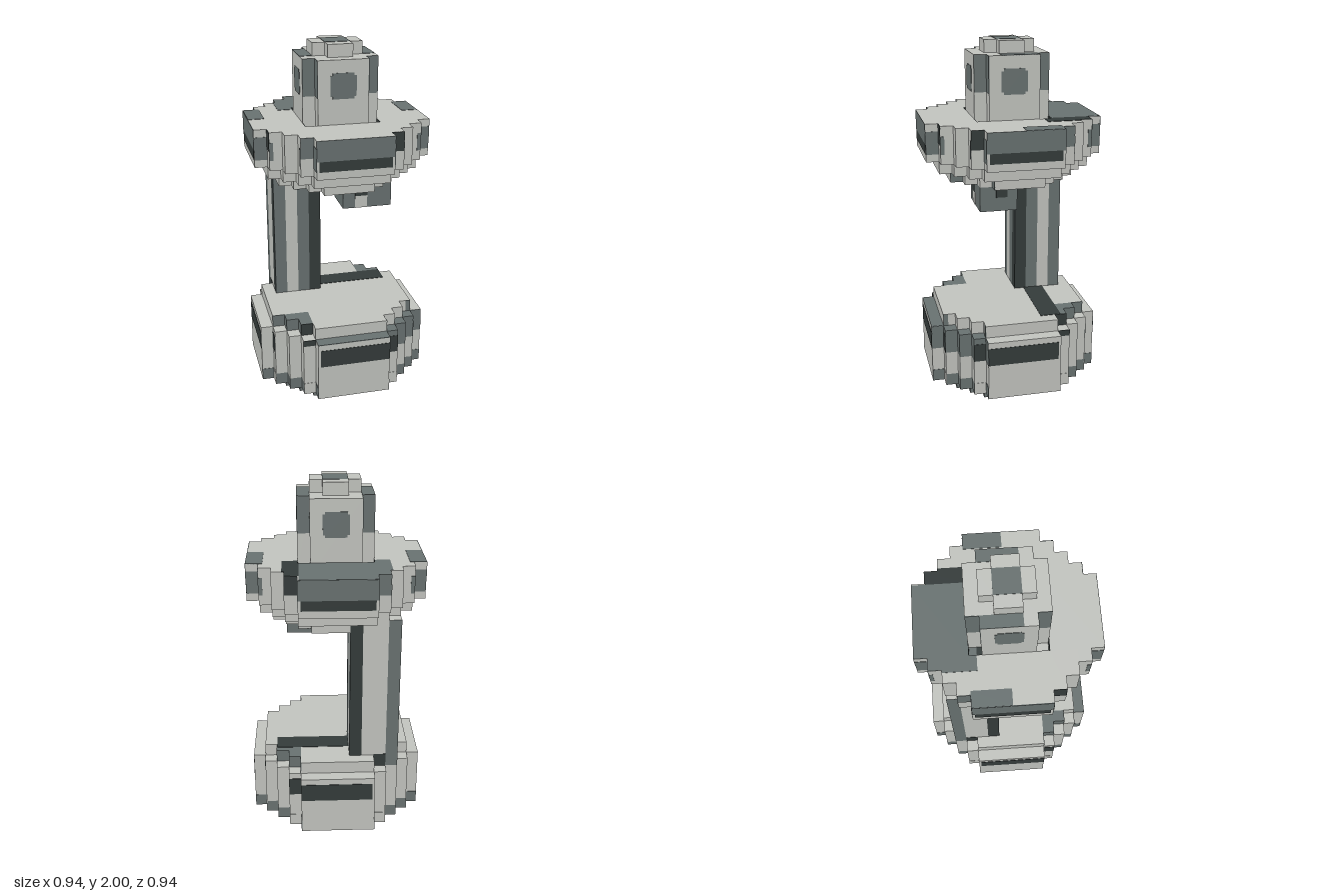
import * as THREE from 'three';

const U = 1 / 15; // one block
const T = 0.03;   // painted plate half thickness, in blocks

export function createModel() {
  const root = new THREE.Group();
  const light = new THREE.MeshStandardMaterial({ color: 0xc1c3be, name: 'light stone' });
  const mid = new THREE.MeshStandardMaterial({ color: 0x687170, name: 'grey stone' });
  const dark = new THREE.MeshStandardMaterial({ color: 0x343b3a, name: 'dark stone' });

  // Box from ranges given in blocks
  function box(name, mat, [x0, x1], [y0, y1], [z0, z1], parent = root) {
    const m = new THREE.Mesh(new THREE.BoxGeometry((x1 - x0) * U, (y1 - y0) * U, (z1 - z0) * U), mat);
    m.position.set((x0 + x1) / 2 * U, (y0 + y1) / 2 * U, (z0 + z1) / 2 * U);
    m.name = name;
    parent.add(m);
  }
  // Thin range around a plane
  const at = (d) => [d - T, d + T];
  // The same box and its copy with x and z exchanged
  function both(name, mat, x, y, z) {
    box(name, mat, x, y, z);
    box(name, mat, z, y, x);
  }
  // Plates on the planes z = d, z = -d, x = d and x = -d
  function onSides(name, mat, x, y, d) {
    both(name, mat, x, y, at(d));
    both(name, mat, x, y, at(-d));
  }

  // Stepped round layer of radius r with flat sides of half width f
  function disc(name, r, f, y, mat, corner = () => mat, hollow = false) {
    const g = new THREE.Group();
    g.name = name;
    if (!hollow) box(name + 'Core', mat, [-f, f], y, [-f, f], g);
    for (const s of [-1, 1]) {
      const span = (a, b, k) => (k > 0 ? [a, b] : [-b, -a]);
      box(name + 'Side', mat, [-f, f], y, span(f, r, s), g);
      box(name + 'Arm', mat, span(f, r, s), y, [-f, f], g);
      for (const t of [-1, 1])
        for (let k = 0; k < r - f - 1; k++)
          box(name + 'Step', corner(t, s), span(f, r - 1 - k, t), y, span(f + k, f + k + 1, s), g);
    }
    root.add(g);
  }

  // Base
  disc('foot', 3, 2, [0, 1], mid);
  disc('footStep', 5, 3, [1, 2], mid);
  disc('baseBottom', 7, 3, [2, 3], light, () => mid);
  disc('baseMiddle', 7, 3, [3, 5], light);
  disc('baseUpper', 7, 3, [5, 7], light, (x, z) => (x > 0 && z > 0 ? mid : light));
  disc('basePlate', 6, 3, [7, 8], light, (x, z) => (x * z < 0 ? mid : light));
  onSides('baseBand', dark, [-2.8, 3], [5, 6.5], 7);
  onSides('baseBandEnd', dark, [3, 4], [5, 6.5], 6);
  onSides('footTrim', light, [-3, 3], [1.6, 2], 5);
  for (const x of [[3, 4], [-4, -3]]) {
    onSides('footTrimEnd', light, x, [1.6, 2], 4);
    onSides('baseLowerStep', light, x, [2, 3], 6);
  }
  box('footStepUnderside', light, [-4, 4], at(1), [-4, 4]);
  box('footUndersideFace', light, [-2, 2], at(0), [-2, 2]);
  for (const end of [[6, 7], [-7, -6]])
    for (const d of [-3, 3]) both('baseLowerEnd', mid, end, [2, 3], at(d));
  both('baseUpperEnd', mid, [6, 7], [5, 7], at(3));
  box('baseRim', mid, [-3, 3], at(7), [6, 7]);
  box('baseTopStripe', dark, [-1, 5], at(8), [-3.5, -1.8]);
  both('plateCornerMark', dark, [-4, -3], [7, 8], at(5));
  both('plateEndMark', mid, [-6, -5], [7, 8], at(3));
  both('plateEdgeMark', mid, [5.6, 6], [7, 8], at(3));
  both('baseCornerMark', dark, [-4, -3], [6.5, 7], at(6));

  // Square column: stripes wrap each corner (face order +x -x +y -y +z -z)
  const column = new THREE.Group();
  column.name = 'column';
  root.add(column);
  const near = [mid, light, mid, dark];  // stripes of the front and left faces
  const far = [mid, light, light, dark]; // stripes of the back and right faces
  for (let i = 0; i < 4; i++)
    for (let k = 0; k < 4; k++)
      if (i % 3 === 0 || k % 3 === 0)
        box('columnStrip', [near[k], far[k], light, light, near[i], far[i]],
          [i - 5, i - 4], [7, 20], [k - 5, k - 4], column);
  both('columnFootMark', dark, [-4, -3], [7, 8.1], at(-5));

  // Hanging hook block
  box('hook', mid, [0, 4], [17, 19], [0, 3]);
  box('hookLightMark', light, [1, 2], [17, 18], at(3));
  box('hookDarkMark', dark, [1, 2], [18, 19], at(3));
  box('hookSideMark', dark, at(4), [18.1, 19], [0.8, 1.7]);

  // Upper bowl, with a small pit at each corner of the tower
  disc('bowlBottom', 5, 2, [19, 20], light);
  disc('bowlMiddle', 6, 3, [20, 21], light);
  disc('bowlTop', 7, 3, [21, 23], light);
  disc('bowlRim', 7, 3, [23, 24], light, () => light, true);
  both('bowlBottomMark', mid, [4, 5], [19, 19.8], at(2));
  both('bowlUnderside', dark, [-1, 3], at(19), [-4, -1]);
  onSides('bowlBand', mid, [-3, 3], [22.4, 24], 7);
  onSides('bowlStripe', dark, [-2.8, 2.8], [21.6, 22.4], 7);
  onSides('bowlBandStart', mid, [-4, -3], [22.4, 24], 6);
  onSides('bowlBandEnd', dark, [3, 4], [22.5, 24], 6);
  for (const s of [-1, 1]) {
    const span = (a, b) => (s > 0 ? [a, b] : [-b, -a]);
    onSides('bowlEndMark', mid, span(6, 7), [21.6, 23.4], 3);
    onSides('bowlEndMarkTip', mid, span(5.7, 6), [21.8, 23.2], 4);
    box('bowlEdgePatch', mid, span(5.7, 7), at(24), [-3, 0]);
  }
  // Painted pit walls and rear pit floors
  for (const x of [[2, 3], [-3, -2]]) {
    onSides('pitWall', dark, x, [23, 24], 3);
    box('pitFloorRear', mid, x, at(23), [-3, -2.4]);
    box('pitFloorDark', dark, x, at(23), [-2.4, -2]);
  }
  // Dark patches on the rear of the bowl top
  box('rearPatch', mid, [-3, 2.9], at(24), [-7, -3]);
  box('rearPatchSide', mid, [-4.2, -3], at(24), [-5, -2.4]);
  box('rearPatchCorner', mid, [-4, -3], at(24), [-6, -5]);
  box('rearPatchDark', dark, [2.9, 4], at(24), [-6, -3]);
  box('rearPatchDarkEnd', dark, [3, 4], at(24), [-3, -2.4]);
  box('rearPatchDarkEdge', dark, [4, 4.2], at(24), [-5, -2.4]);

  // Tower and cap
  disc('tower', 3, 2, [23, 29], light);
  disc('cap', 2, 1, [29, 30], light);
  onSides('towerWindow', mid, [-0.85, 0.85], [26, 28], 3);
  onSides('towerWindowWide', mid, [-1.03, 1.03], [26.2, 27.8], 3);
  for (const x of [[2, 3], [-3, -2]]) {
    onSides('towerCornerPaint', mid, x, [26.1, 29], 2);
    box('towerTopPaint', mid, x, at(29), [-2, 1]);
  }
  box('capPaint', mid, [-1, 1], at(30), [-1, 1]);
  return root;
}
